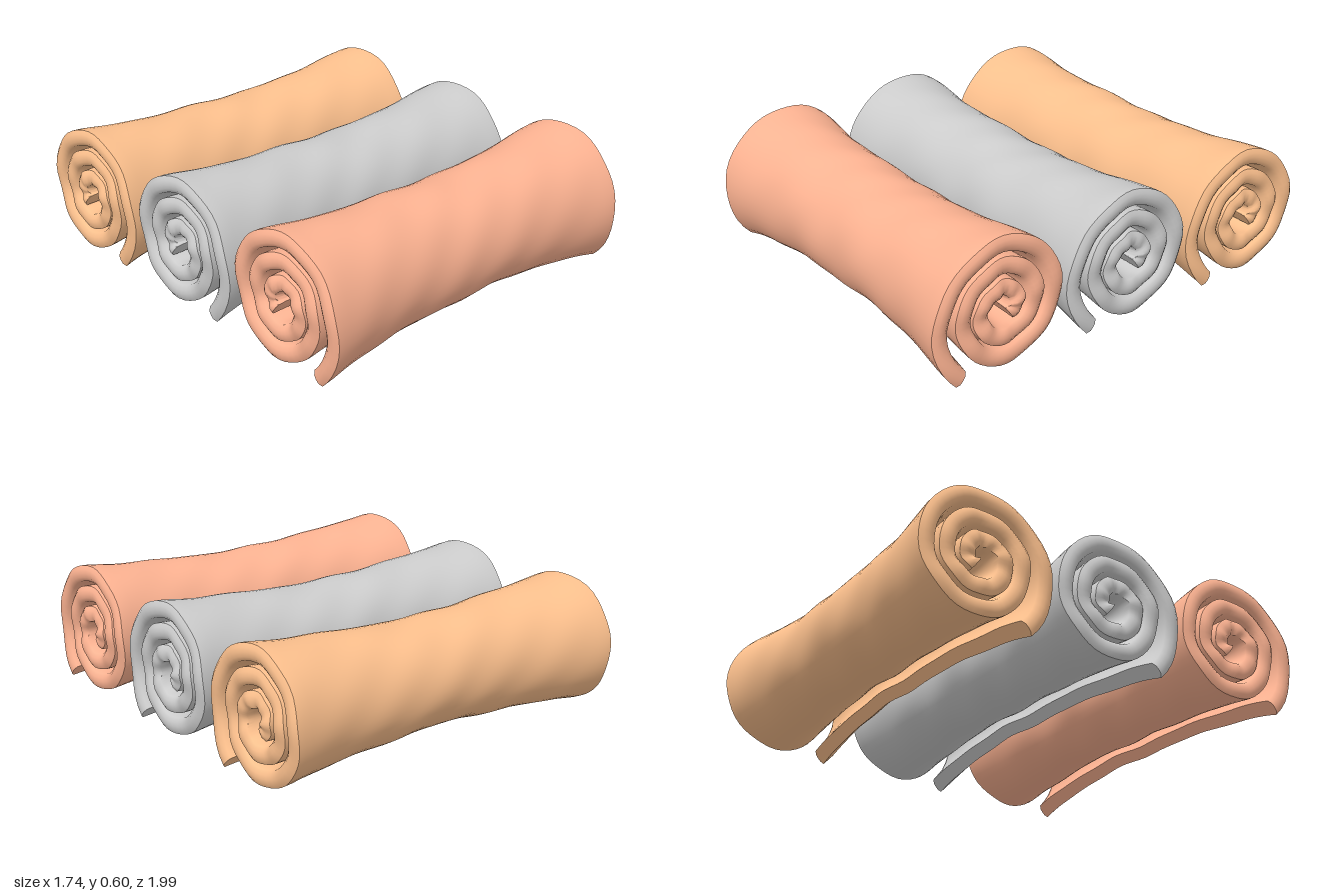
import * as THREE from 'three';
import { toCreasedNormals } from 'three/addons/utils/BufferGeometryUtils.js';

const rad = THREE.MathUtils.degToRad;
const START = -775, END = 229;      // sheet angle in degrees, inner edge to loose tail
const HALF = 0.86, THICK = 0.083, PITCH = 0.096;
const MID_Y = 0.31, MID_Z = 0.02;   // waist axis relative to the spiral axis

// Gentle dents in the cloth
function dents(x, a) {
  return 0.005 * Math.sin(7 * x + 2 * a + 0.6) + 0.004 * Math.sin(13 * x - 3 * a + 1.7)
    + 0.003 * Math.sin(21 * x + 5 * a);
}

// A flat slab bent into a spiral, narrowed at the waist
function rolledSheet() {
  const geo = new THREE.BoxGeometry(2, 2, 1, 44, 4, 130);
  const p = geo.attributes.position;
  for (let i = 0; i < p.count; i++) {
    const u = p.getX(i), v = p.getY(i), w = p.getZ(i) + 0.5;
    const deg = START + (END - START) * w, a = rad(deg);

    // Softened rims at both ends and at the tail
    const bevel = 0.014 * Math.pow(Math.abs(v), 3);
    const rimWave = 0.006 * Math.sin(3 * a + u) + 0.004 * Math.sin(7 * a);
    const x = u * (HALF + (rimWave - bevel) * Math.pow(Math.abs(u), 12));
    const edge = Math.max(Math.pow(Math.abs(u), 30), Math.pow(Math.abs(2 * w - 1), 200));
    const thick = THICK * (1 - 0.12 * edge);

    // Spiral radius, with the loose tail lifting away from the roll
    const flare = 0.016 * THREE.MathUtils.smoothstep(deg, 150, END);
    const tuck = 0.014 * Math.exp(-Math.pow((deg + 150) / 45, 2));
    const outer = 0.32 + PITCH * (deg - 90) / 360 + flare - tuck;
    const waist = 0.8 + 0.2 * Math.pow(Math.abs(u), 2.2);
    const r = outer - THICK / 2 + v * thick / 2 + dents(x, a) * (1 - 0.7 * Math.abs(u));

    const y = 0.28 + r * Math.sin(a), z = -r * Math.cos(a);
    p.setXYZ(i, x, MID_Y + (y - MID_Y) * waist, MID_Z + (z - MID_Z) * waist);
  }
  return toCreasedNormals(geo, rad(50));
}

export function createModel() {
  const group = new THREE.Group();
  group.name = 'rolledTowels';
  const geo = rolledSheet();
  const rolls = [
    ['frontRoll', 0.65, 0xfdb392],
    ['middleRoll', -0.025, 0xcccccc],
    ['backRoll', -0.7, 0xfcc08d],
  ];
  for (const [name, z, color] of rolls) {
    const roll = new THREE.Mesh(geo, new THREE.MeshStandardMaterial({ color }));
    roll.name = name;
    roll.position.z = z;
    group.add(roll);
  }
  return group;
}
